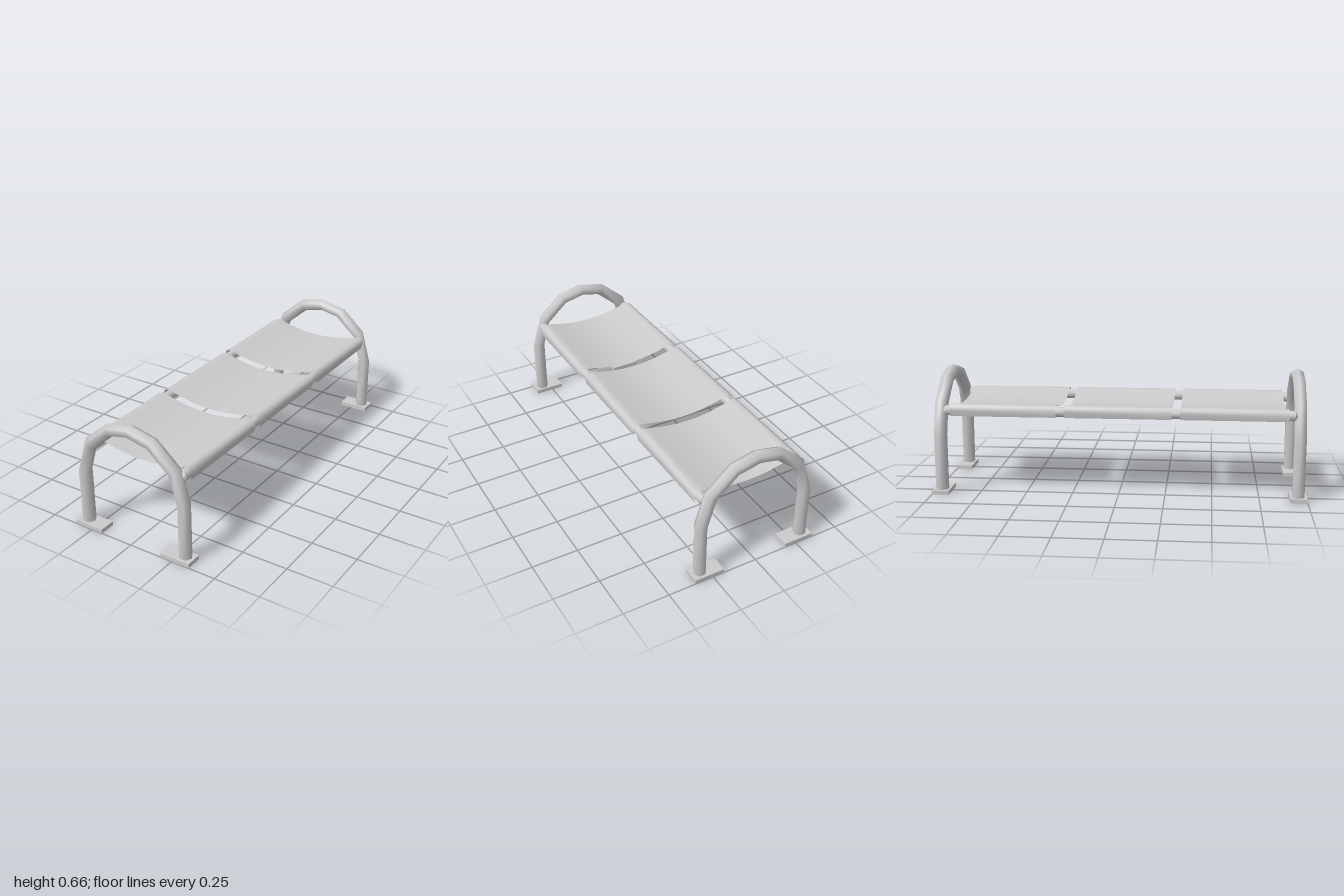
import * as THREE from 'three';

const grey = new THREE.MeshStandardMaterial({ color: 0xcccccc });
const cloth = new THREE.MeshStandardMaterial({ color: 0xcccccc, side: THREE.DoubleSide });

function add(parent, name, geometry, material = grey) {
  const mesh = new THREE.Mesh(geometry, material);
  mesh.name = name;
  parent.add(mesh);
  return mesh;
}

// Six-sided mitred tube bent into an arch, lofted from outer and inner outline points
function archGeometry() {
  const half = [ // outer x, outer y, inner x, inner y
    [0.337, 0.01, 0.266, 0.01],
    [0.337, 0.32, 0.266, 0.32],
    [0.283, 0.503, 0.223, 0.466],
    [0.14, 0.627, 0.112, 0.564],
    [0, 0.657, 0, 0.588],
  ];
  const mirrored = half.slice(0, -1).reverse().map(([a, b, c, d]) => [-a, b, -c, d]);
  const stations = [...half, ...mirrored];
  const sides = 6, radius = 0.036, pos = [], index = [];
  stations.forEach(([ox, oy, ix, iy], i) => {
    for (let k = 0; k < sides; k++) {
      const a = (k / sides) * Math.PI * 2, c = Math.cos(a) / 2;
      pos.push((ox + ix) / 2 + (ox - ix) * c, (oy + iy) / 2 + (oy - iy) * c, radius * Math.sin(a));
      if (i === stations.length - 1) continue;
      const p = i * sides + k, q = i * sides + (k + 1) % sides;
      index.push(p, p + sides, q, q, p + sides, q + sides);
    }
  });
  const g = new THREE.BufferGeometry();
  g.setAttribute('position', new THREE.Float32BufferAttribute(pos, 3));
  g.setIndex(index);
  g.computeVertexNormals();
  return g;
}

// Thin sling that sags in the middle and folds down over both rails
function slingGeometry(length) {
  const right = [[0.302, 0.424], [0.308, 0.455], [0.301, 0.477], [0.28, 0.487], [0.25, 0.481],
    [0.19, 0.466], [0.12, 0.453], [0.06, 0.446]];
  const profile = [
    ...right.map(([x, y]) => [-x, y]), [0, 0.444], ...right.slice().reverse(),
  ];
  const g = new THREE.PlaneGeometry(1, length, profile.length - 1, 1).rotateX(-Math.PI / 2);
  const p = g.attributes.position;
  for (let i = 0; i < p.count; i++) {
    const [x, y] = profile[i % profile.length];
    p.setXY(i, x, y);
  }
  g.computeVertexNormals();
  return g;
}

export function createModel() {
  const bench = new THREE.Group();
  bench.name = 'bench';

  // Arched end frames with foot plates
  const arch = archGeometry();
  for (const end of [1, -1]) {
    const frame = new THREE.Group();
    frame.name = end > 0 ? 'frontFrame' : 'backFrame';
    add(frame, 'arch', arch).position.z = end * 0.953;
    for (const side of [1, -1]) {
      add(frame, 'footPlate', new THREE.BoxGeometry(0.165, 0.022, 0.09))
        .position.set(side * 0.268, 0.011, end * 0.955);
    }
    bench.add(frame);
  }

  // Side rails with tapered tips that run into the arches
  for (const side of [1, -1]) {
    const rail = new THREE.Group();
    rail.name = side > 0 ? 'leftRail' : 'rightRail';
    add(rail, 'railTube', new THREE.CylinderGeometry(0.027, 0.027, 1.85, 10, 1, true).rotateX(Math.PI / 2));
    for (const end of [1, -1]) {
      add(rail, 'railTip', new THREE.ConeGeometry(0.027, 0.03, 10, 1, true).rotateX(end * Math.PI / 2))
        .position.z = end * 0.94;
    }
    rail.position.set(side * 0.273, 0.45, 0);
    bench.add(rail);
  }

  // Three seat slings
  const sling = slingGeometry(0.568);
  for (const z of [-0.614, -0.002, 0.61]) add(bench, 'seatSling', sling, cloth).position.z = z;

  return bench;
}
